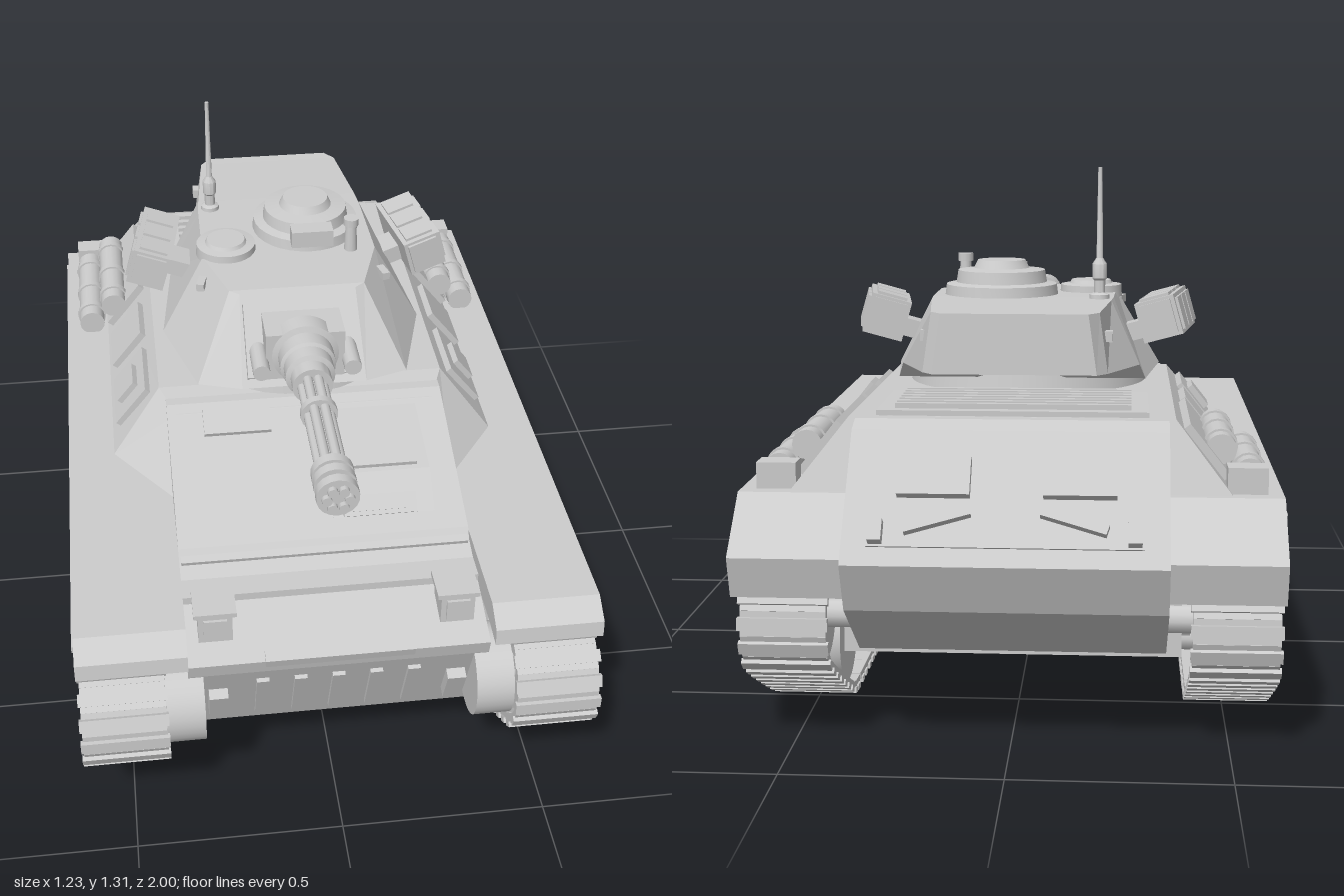
import * as THREE from 'three';
import { mergeGeometries, toCreasedNormals } from 'three/addons/utils/BufferGeometryUtils.js';

const armour = new THREE.MeshStandardMaterial({ color: 0xcccccc });
armour.name = 'armour grey';

const box = (w, h, d) => new THREE.BoxGeometry(w, h, d);
const cyl = (rTop, rBottom, h, n = 24) => new THREE.CylinderGeometry(rTop, rBottom, h, n);

function add(parent, name, geo, pos = [0, 0, 0], rot = [0, 0, 0]) {
  const m = new THREE.Mesh(geo, armour);
  m.name = name;
  m.position.set(...pos);
  m.rotation.set(...rot);
  parent.add(m);
  return m;
}

// Side profile of [z, y] points, extruded across x and centred
function slab(points, width) {
  const shape = new THREE.Shape(points.map(p => new THREE.Vector2(...p)));
  const g = new THREE.ExtrudeGeometry(shape, { depth: width, bevelEnabled: false });
  return g.translate(0, 0, -width / 2).rotateY(-Math.PI / 2);
}

// Flat-faced solid between two mirrored rings; halves run front to rear at +x
function loft(bottomHalf, topHalf) {
  const ring = h => [...h, ...h.map(([x, y, z]) => [-x, y, z]).reverse()];
  const b = ring(bottomHalf), t = ring(topHalf), n = b.length, v = [];
  const quad = (p, q, r, s) => v.push(...p, ...q, ...r, ...p, ...r, ...s);
  for (let i = 0; i < n; i++) {
    const j = (i + 1) % n;
    quad(b[i], b[j], t[j], t[i]);
  }
  for (let i = 0; i < n / 2 - 1; i++) {
    quad(t[i], t[i + 1], t[n - 2 - i], t[n - 1 - i]);
    quad(b[n - 1 - i], b[n - 2 - i], b[i + 1], b[i]);
  }
  const g = new THREE.BufferGeometry();
  g.setAttribute('position', new THREE.Float32BufferAttribute(v, 3));
  g.computeVertexNormals();
  return g;
}

// Lathe from [radius, height] points with sharp edges
const turned = (pts, n = 28) => toCreasedNormals(
  new THREE.LatheGeometry(pts.map(p => new THREE.Vector2(...p)), n), 0.6);

function makeHull() {
  const hull = new THREE.Group();
  hull.name = 'hull';
  add(hull, 'mainHull', slab([[0.8, 0.2], [0.9, 0.45], [0.91, 0.49], [0.64, 0.575], [0.62, 0.6], [0.22, 0.74],
    [-0.74, 0.755], [-0.8, 0.735], [-1, 0.475], [-0.95, 0.36], [-0.74, 0.2]], 0.71));
  add(hull, 'belly', box(0.78, 0.36, 1.5), [0, 0.38, 0]);
  add(hull, 'superstructure', loft(
    [[0.355, 0.59, 0.42], [0.5, 0.59, 0.22], [0.5, 0.59, -0.81]],
    [[0.33, 0.73, 0.25], [0.37, 0.748, 0.15], [0.37, 0.755, -0.75]]));
  // Nose details
  for (let i = -2; i <= 2; i++) add(hull, 'noseRib', box(0.03, 0.19, 0.015), [i * 0.09, 0.325, 0.853], [0.38, 0, 0]);
  add(hull, 'noseLip', box(0.35, 0.025, 0.03), [0, 0.49, 0.9], [0.3, 0, 0]);
  add(hull, 'glacisSeam', box(0.7, 0.015, 0.02), [0, 0.578, 0.64], [0.3, 0, 0]);
  // Driver hood and vision blocks
  add(hull, 'driverHood', slab([[0.6, 0.59], [0.49, 0.69], [0.28, 0.735], [0.24, 0.7]], 0.25), [0.155, 0, 0]);
  add(hull, 'driverHatch', box(0.19, 0.012, 0.19), [0.155, 0.717, 0.385], [0.21, 0, 0]);
  add(hull, 'driverVisor', box(0.18, 0.05, 0.025), [0.145, 0.638, 0.555], [-0.74, 0, 0]);
  add(hull, 'visorSlit', box(0.14, 0.025, 0.02), [0.145, 0.642, 0.562], [-0.74, 0, 0]);
  add(hull, 'gunnerPlate', box(0.17, 0.03, 0.08), [-0.18, 0.715, 0.28], [0.34, 0, 0]);
  // Engine deck with grille
  add(hull, 'engineHatch', box(0.62, 0.014, 0.29), [0, 0.76, -0.59]);
  for (let i = 0; i < 7; i++) add(hull, 'grilleBar', box(0.54, 0.014, 0.016), [0, 0.772, -0.7 + i * 0.036]);
  // Rear plate fittings
  const rear = new THREE.Group();
  rear.name = 'rearFittings';
  rear.position.set(0, 0.605, -0.9);
  rear.rotation.x = -0.915;
  hull.add(rear);
  add(rear, 'rearPanel', box(0.6, 0.01, 0.24));
  for (const s of [-1, 1]) {
    add(rear, 'rearLocker', box(0.16, 0.035, 0.09), [s * 0.16, 0.01, 0.04]);
    add(rear, 'rearTool', box(0.15, 0.03, 0.025), [s * 0.15, 0.01, -0.06], [0, s * 0.3, 0]);
    add(rear, 'rearHook', box(0.03, 0.04, 0.05), [s * 0.28, 0.01, -0.09]);
  }
  for (const s of [-1, 1]) {
    // Lamps, tow hooks, final drives
    add(hull, 'headlampHousing', box(0.08, 0.08, 0.08), [s * 0.285, 0.55, 0.81]);
    add(hull, 'headlampLens', box(0.055, 0.055, 0.01), [s * 0.285, 0.55, 0.852]);
    add(hull, 'headlampGuard', box(0.1, 0.012, 0.09), [s * 0.285, 0.592, 0.81]);
    add(hull, 'towHook', box(0.045, 0.11, 0.03), [s * 0.285, 0.32, 0.86], [0.38, 0, 0]);
    add(hull, 'finalDrive', cyl(0.11, 0.11, 0.09, 32), [s * 0.365, 0.35, 0.85], [0, 0, Math.PI / 2]);
    // Fender with rear flap
    add(hull, 'fender', slab([[0.95, 0.52], [0.945, 0.56], [0.89, 0.595], [-0.83, 0.595], [-0.955, 0.475],
      [-0.93, 0.38], [-0.86, 0.45], [-0.79, 0.52], [0.88, 0.53]], 0.255), [s * 0.4825, 0, 0]);
    add(hull, 'fenderTrim', box(0.012, 0.018, 1.7), [s * 0.61, 0.55, 0.03]);
    // Sloped side hatches
    const side = new THREE.Group();
    side.name = 'sidePanels';
    side.position.set(s * 0.44, 0.675, 0);
    side.rotation.z = -s * 0.9;
    hull.add(side);
    add(side, 'sideHatch', box(0.13, 0.016, 0.2), [0, 0, 0.03]);
    add(side, 'sideHatchBlock', box(0.07, 0.03, 0.09), [0, 0.008, 0.03]);
    add(side, 'sideVent', box(0.13, 0.02, 0.16), [0, 0, -0.22]);
    add(side, 'stowageRack', box(0.15, 0.025, 0.36), [0, 0, -0.55]);
    // Stowage rolls with straps
    for (const [x, y] of [[0.54, 0.625], [0.475, 0.68]]) {
      add(hull, 'stowageRoll', cyl(0.035, 0.035, 0.34, 16), [s * x, y, -0.54], [Math.PI / 2, 0, 0]);
      for (const z of [-0.66, -0.53, -0.42])
        add(hull, 'rollStrap', cyl(0.04, 0.04, 0.018, 16), [s * x, y, z], [Math.PI / 2, 0, 0]);
    }
    add(hull, 'rearStowageBox', box(0.09, 0.06, 0.06), [s * 0.53, 0.625, -0.765]);
  }
  return hull;
}

// Track run: sprocket arc, lower run, idler arc, sagging upper run
function makeTrack() {
  const pts = [];
  const arc = (z, y, r, a0, a1, n) => {
    for (let i = 0; i <= n; i++) {
      const a = THREE.MathUtils.degToRad(a0 + (a1 - a0) * i / n);
      pts.push(new THREE.Vector3(0, y + r * Math.sin(a), z + r * Math.cos(a)));
    }
  };
  arc(0.85, 0.35, 0.128, 95, -60, 8);
  arc(0.53, 0.16, 0.137, -60, -90, 2);
  arc(-0.465, 0.16, 0.137, -90, -120, 2);
  arc(-0.74, 0.29, 0.123, -120, -265, 8);
  for (const [z, y] of [[-0.5, 0.435], [-0.29, 0.455], [0.065, 0.468], [0.39, 0.468], [0.62, 0.478]])
    pts.push(new THREE.Vector3(0, y, z));
  const curve = new THREE.CatmullRomCurve3(pts, true, 'centripetal');
  const n = 76, pitch = curve.getLength() / n, parts = [];
  for (let i = 0; i < n; i++) {
    const p = curve.getPointAt(i / n), t = curve.getTangentAt(i / n);
    for (const g of [box(0.195, 0.018, pitch * 1.08), box(0.205, 0.014, pitch * 0.55).translate(0, 0.012, 0),
      box(0.03, 0.035, pitch * 0.5).translate(0, -0.022, 0)])
      parts.push(g.rotateX(Math.atan2(-t.y, t.z)).translate(0, p.y, p.z));
  }
  return mergeGeometries(parts);
}

function makeRunningGear() {
  const gear = new THREE.Group();
  gear.name = 'runningGear';
  const track = makeTrack();
  const wheelGeo = turned([[0, -0.07], [0.128, -0.07], [0.128, -0.015], [0.1, -0.015], [0.1, 0.015], [0.128, 0.015],
    [0.128, 0.07], [0.098, 0.075], [0.09, 0.045], [0.065, 0.05], [0.058, 0.075], [0.035, 0.08], [0, 0.08]]);
  const rollerGeo = turned([[0, -0.06], [0.05, -0.06], [0.05, 0.06], [0.035, 0.065], [0.03, 0.05], [0, 0.05]], 20);
  for (const s of [-1, 1]) {
    const tilt = [0, 0, -s * Math.PI / 2], x = s * 0.5;
    add(gear, 'track', track, [s * 0.508, 0, 0]);
    const wheel = (name, y, z, scale) => {
      add(gear, name, wheelGeo, [x, y, z], tilt).scale.set(scale, 1, scale);
      add(gear, 'hubNut', cyl(0.024, 0.026, 0.03, 6), [x + s * 0.09, y, z], tilt);
      for (let i = 0; i < 8; i++) {
        const a = i * Math.PI / 4;
        add(gear, 'wheelBolt', box(0.014, 0.014, 0.014),
          [x + s * 0.05, y + Math.sin(a) * 0.077 * scale, z + Math.cos(a) * 0.077 * scale], [-a, 0, 0]);
      }
      add(gear, 'axle', cyl(0.035, 0.035, 0.1, 12), [s * 0.4, y, z], tilt);
    };
    for (const z of [0.53, 0.2, -0.135, -0.465]) {
      wheel('roadWheel', 0.16, z, 1);
      add(gear, 'suspensionArm', box(0.03, 0.06, 0.2), [s * 0.405, 0.21, z + 0.06], [-0.5, 0, 0]);
    }
    wheel('driveSprocket', 0.35, 0.85, 0.86);
    wheel('rearIdler', 0.29, -0.74, 0.84);
    for (const z of [0.39, 0.21, 0.065, -0.29]) {
      add(gear, 'returnRoller', rollerGeo, [x, 0.405, z], tilt);
      add(gear, 'rollerNut', cyl(0.018, 0.018, 0.02, 6), [x + s * 0.06, 0.405, z], tilt);
    }
  }
  return gear;
}

function makeTurret() {
  const turret = new THREE.Group();
  turret.name = 'turret';
  add(turret, 'turretRing', cyl(0.3, 0.31, 0.06, 40), [0, 0.77, -0.1]);
  add(turret, 'turretBody', loft(
    [[0.16, 0.785, 0.235], [0.27, 0.785, 0.2], [0.345, 0.785, -0.06], [0.305, 0.79, -0.38], [0.29, 0.83, -0.42],
      [0.215, 0.84, -0.64], [0.19, 0.84, -0.67]],
    [[0.15, 0.975, 0.085], [0.175, 0.978, 0.07], [0.23, 0.982, -0.1], [0.225, 0.985, -0.33], [0.22, 0.985, -0.4],
      [0.195, 0.98, -0.63], [0.17, 0.98, -0.665]]));
  // Mantlet plate and rotary gun along +z
  add(turret, 'mantletPlate', box(0.29, 0.19, 0.03), [0, 0.885, 0.17], [-0.67, 0, 0]);
  add(turret, 'mantletBlock', box(0.2, 0.13, 0.14), [0, 0.885, 0.18]);
  const gun = new THREE.Group();
  gun.name = 'gun';
  gun.position.set(0, 0.888, 0);
  gun.rotation.x = Math.PI / 2;
  turret.add(gun);
  add(gun, 'gunMantlet', turned([[0, 0.2], [0.085, 0.2], [0.085, 0.25], [0.07, 0.255], [0.07, 0.3], [0.062, 0.305],
    [0.062, 0.345], [0.05, 0.35], [0.05, 0.39], [0, 0.39]]));
  add(gun, 'gunCore', cyl(0.018, 0.018, 0.44, 12), [0, 0.59, 0]);
  for (let i = 0; i < 6; i++) {
    const a = i * Math.PI / 3;
    add(gun, 'gunBarrel', cyl(0.012, 0.012, 0.47, 10), [Math.cos(a) * 0.026, 0.6, Math.sin(a) * 0.026]);
  }
  for (const [y, h, r] of [[0.5, 0.02, 0.045], [0.735, 0.025, 0.05], [0.77, 0.025, 0.05], [0.81, 0.025, 0.05]])
    add(gun, 'barrelClamp', cyl(r, r, h, 18), [0, y, 0]);
  // Commander cupola
  add(turret, 'cupola', turned([[0, 0.97], [0.145, 0.97], [0.14, 1.01], [0.115, 1.015], [0.11, 1.045], [0.07, 1.05],
    [0.06, 1.07], [0, 1.07]], 32), [0.06, 0, -0.24]);
  add(turret, 'cupolaSight', box(0.11, 0.045, 0.05), [0.06, 1.03, -0.1]);
  // Crew hatch, periscope, aerial
  add(turret, 'crewHatch', turned([[0, 0.97], [0.08, 0.97], [0.078, 1], [0.055, 1.003], [0.05, 1.012], [0, 1.012]]),
    [-0.165, 0, -0.14]);
  add(turret, 'periscopeStem', cyl(0.014, 0.018, 0.09, 12), [0.165, 1.02, -0.1]);
  add(turret, 'periscopeHead', cyl(0.02, 0.02, 0.02, 12), [0.165, 1.065, -0.1]);
  add(turret, 'aerial', turned([[0, 0.975], [0.026, 0.975], [0.024, 0.995], [0.014, 1], [0.014, 1.03], [0.018, 1.035],
    [0.018, 1.07], [0.008, 1.085], [0.005, 1.305], [0, 1.305]], 12), [-0.19, 0, -0.36]);
  for (const s of [-1, 1]) {
    // Coaxial ports beside the gun
    add(turret, 'coaxialPort', cyl(0.022, 0.022, 0.13, 14), [s * 0.115, 0.87, 0.23], [Math.PI / 2, 0, 0]);
    // Launcher pods
    const pod = new THREE.Group();
    pod.name = 'launcherPod';
    pod.position.set(s * 0.355, 0.935, -0.245);
    pod.rotation.set(0, s * 0.16, s * 0.28);
    turret.add(pod);
    add(pod, 'podBody', box(0.1, 0.1, 0.24));
    for (const z of [-0.12, 0.12]) add(pod, 'podCap', box(0.08, 0.085, 0.015), [0, 0, z]);
    for (let i = -1; i <= 1; i++) {
      add(pod, 'podDoor', box(0.014, 0.08, 0.062), [s * 0.05, 0, i * 0.075]);
      add(pod, 'podLid', box(0.075, 0.014, 0.062), [0, 0.05, i * 0.075]);
    }
    add(pod, 'podMount', box(0.12, 0.045, 0.08), [-s * 0.08, -0.02, 0]);
    // Lifting lugs on the cheeks and bustle
    add(turret, 'liftingLug', box(0.02, 0.02, 0.045), [s * 0.24, 0.95, -0.02], [0, s * 0.25, 0]);
    add(turret, 'bustleLug', box(0.02, 0.025, 0.03), [s * 0.215, 0.92, -0.58]);
  }
  return turret;
}

export function createModel() {
  const model = new THREE.Group();
  model.name = 'tank';
  model.add(makeHull(), makeRunningGear(), makeTurret());
  return model;
}
